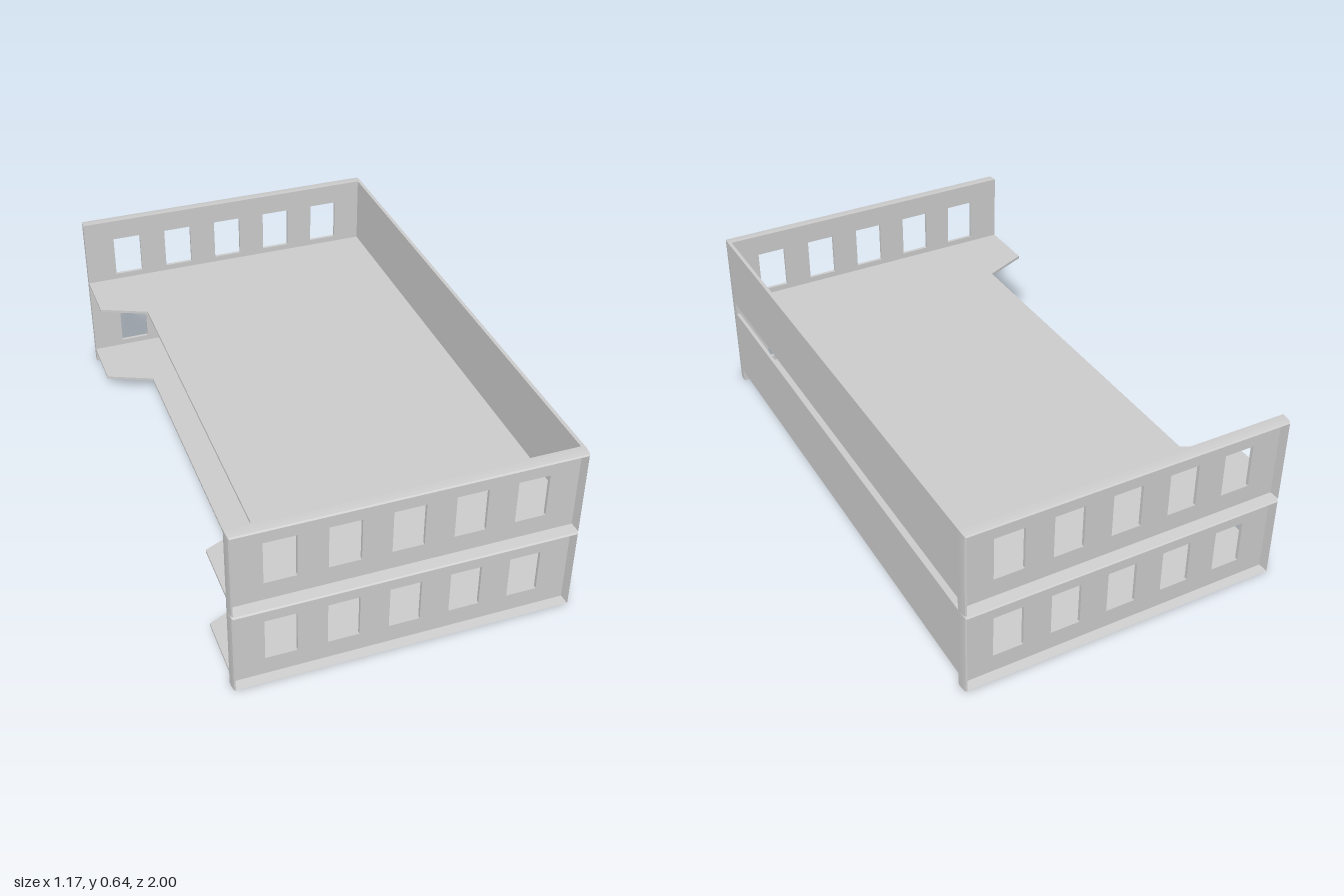
import * as THREE from 'three';

const HALF_W = 0.5875, TRAY_H = 0.32, WEB_BACK = 0.955, WEB_T = 0.012;
const material = new THREE.MeshStandardMaterial({ color: 0xcccccc, flatShading: true });

function add(group, name, geometry) {
  const mesh = new THREE.Mesh(geometry, material);
  mesh.name = name;
  group.add(mesh);
  return mesh;
}

function rectPath(path, x0, y0, x1, y1) {
  path.moveTo(x0, y0).lineTo(x1, y0).lineTo(x1, y1).lineTo(x0, y1).closePath();
  return path;
}

// Flat end plate with five rectangular windows
function webGeometry() {
  const shape = rectPath(new THREE.Shape(), -HALF_W, 0, HALF_W, TRAY_H);
  for (let i = -2; i <= 2; i++) {
    const cx = i * 0.209;
    shape.holes.push(rectPath(new THREE.Path(), cx - 0.054, 0.08, cx + 0.054, 0.24));
  }
  return new THREE.ExtrudeGeometry(shape, { depth: WEB_T, bevelEnabled: false }).translate(0, 0, WEB_BACK);
}

// Mitred outward rim: a small cross-section (inset, z) swept round the rectangle
function rimGeometry() {
  const profile = [[0, WEB_BACK + WEB_T], [0.001, 0.982], [0.003, 0.995], [0.007, 1], [0.013, WEB_BACK + WEB_T]];
  const ring = ([d, z]) => [
    [-HALF_W + d, d, z], [HALF_W - d, d, z],
    [HALF_W - d, TRAY_H - d, z], [-HALF_W + d, TRAY_H - d, z],
  ];
  const positions = [];
  for (let j = 0; j < profile.length - 1; j++) {
    const r = ring(profile[j]), s = ring(profile[j + 1]);
    for (let k = 0; k < 4; k++) {
      const n = (k + 1) % 4;
      positions.push(...r[k], ...r[n], ...s[n], ...r[k], ...s[n], ...s[k]);
    }
  }
  const geometry = new THREE.BufferGeometry();
  geometry.setAttribute('position', new THREE.Float32BufferAttribute(positions, 3));
  geometry.computeVertexNormals();
  return geometry;
}

// Thin floor with a wide tapered notch on the open side
function floorGeometry() {
  const shape = new THREE.Shape([
    [HALF_W, -WEB_BACK], [HALF_W, WEB_BACK], [-HALF_W, WEB_BACK], [-HALF_W, 0.742],
    [-0.417, 0.667], [-0.417, -0.667], [-HALF_W, -0.742], [-HALF_W, -WEB_BACK],
  ].map(([x, y]) => new THREE.Vector2(x, y)));
  return new THREE.ExtrudeGeometry(shape, { depth: 0.01, bevelEnabled: false })
    .rotateX(-Math.PI / 2).translate(0, 0.048, 0);
}

function createEndPanel(name) {
  const panel = new THREE.Group();
  panel.name = name;
  add(panel, 'windowPlate', webGeometry());
  add(panel, 'rim', rimGeometry());
  return panel;
}

function createTray(name) {
  const tray = new THREE.Group();
  tray.name = name;
  const front = createEndPanel('frontPanel');
  const back = createEndPanel('backPanel');
  back.rotation.y = Math.PI;
  tray.add(front, back);
  add(tray, 'floor', floorGeometry());
  // Solid long wall on the left side, standing on the floor
  const wallH = TRAY_H - 0.058;
  add(tray, 'sideWall', new THREE.BoxGeometry(0.013, wallH, 2 * WEB_BACK))
    .position.set(HALF_W - 0.0065, TRAY_H - wallH / 2, 0);
  return tray;
}

export function createModel() {
  const model = new THREE.Group();
  model.name = 'stackedTrays';
  ['lowerTray', 'upperTray'].forEach((name, i) => {
    const tray = createTray(name);
    tray.position.y = i * TRAY_H;
    model.add(tray);
  });
  return model;
}
